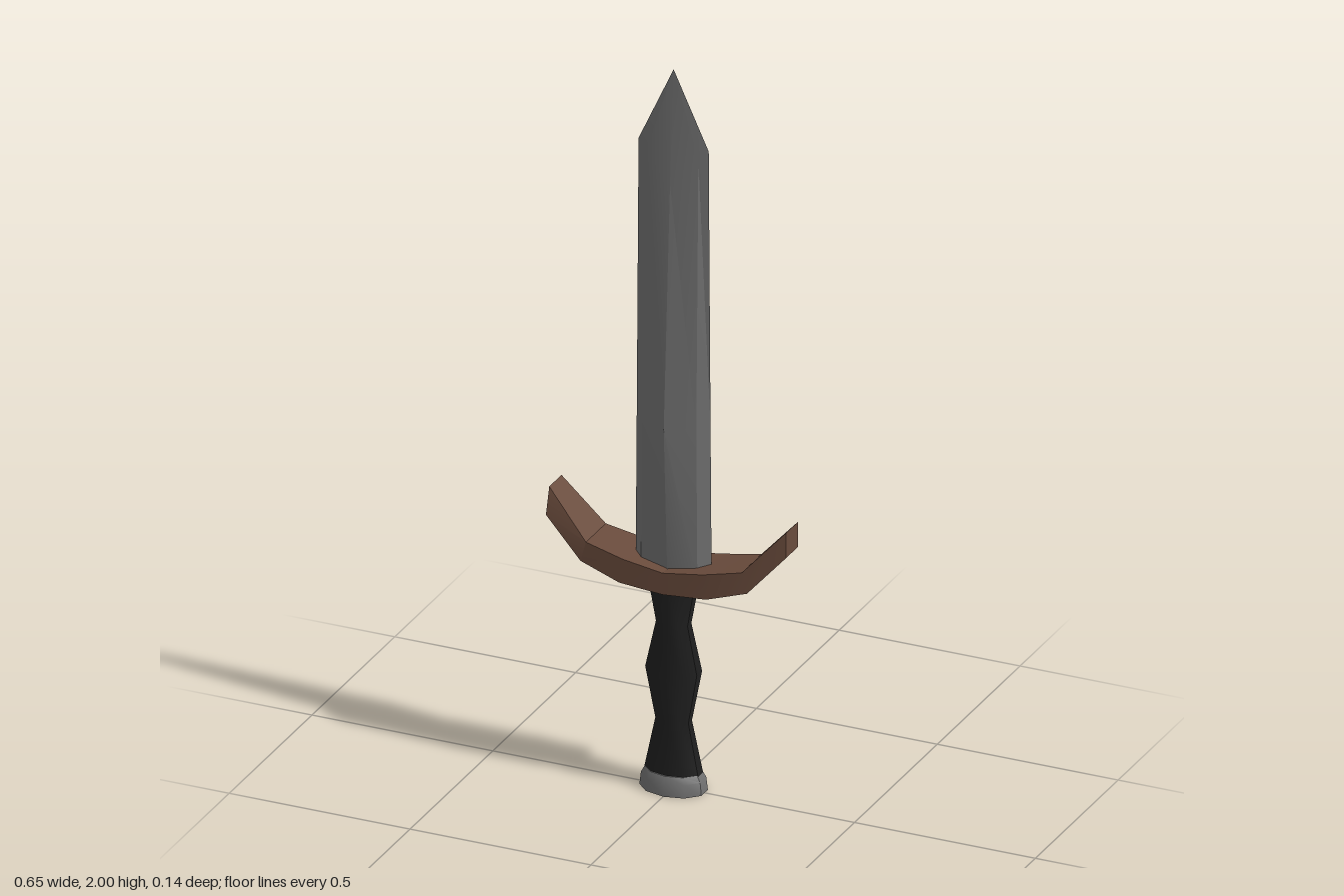
import * as THREE from 'three';
import { toCreasedNormals } from 'three/addons/utils/BufferGeometryUtils.js';

const material = (name, color) => {
  const m = new THREE.MeshStandardMaterial({ color });
  m.name = name;
  return m;
};

// Skin a list of equal-sized rings and close both ends
function loft(rings, crease) {
  const n = rings[0].length;
  const last = (rings.length - 1) * n;
  const index = [];
  for (let r = 0; r < rings.length - 1; r++) {
    for (let j = 0; j < n; j++) {
      const a = r * n + j, b = r * n + (j + 1) % n;
      index.push(a, b, a + n, b, b + n, a + n);
    }
  }
  for (let j = 1; j < n - 1; j++) {
    index.push(0, j + 1, j, last, last + j, last + j + 1);
  }
  const geometry = new THREE.BufferGeometry();
  geometry.setAttribute('position', new THREE.Float32BufferAttribute(rings.flat(2), 3));
  geometry.setIndex(index);
  return toCreasedNormals(geometry, crease);
}

// Oval ring around the y axis
function oval(y, rx, rz, sides = 10) {
  return Array.from({ length: sides }, (_, i) => {
    const a = (i / sides) * Math.PI * 2;
    return [Math.sin(a) * rx, y, Math.cos(a) * rz];
  });
}

// Eight-point blade section: ridge, bevel and cutting edge, each with its own height
function bladeRing([ridgeY, ridgeZ], [bevelX, bevelY, bevelZ], [edgeX, edgeY]) {
  return [
    [0, ridgeY, ridgeZ], [bevelX, bevelY, bevelZ], [edgeX, edgeY, 0], [bevelX, bevelY, -bevelZ],
    [0, ridgeY, -ridgeZ], [-bevelX, bevelY, -bevelZ], [-edgeX, edgeY, 0], [-bevelX, bevelY, bevelZ],
  ];
}

export function createModel() {
  const group = new THREE.Group();
  const steel = material('steel', 0x707070);
  const leather = material('black leather', 0x1f1f1f);
  const wood = material('brown wood', 0x694b3c);

  const add = (name, geometry, mat) => {
    const mesh = new THREE.Mesh(geometry, mat);
    mesh.name = name;
    group.add(mesh);
  };

  // Blade: oval at the guard, thickest at the ridge start, tapering to the point
  add('blade', loft([
    bladeRing([0.59, 0.038], [0.078, 0.59, 0.027], [0.105, 0.59]),
    bladeRing([1.02, 0.06], [0.075, 1.02, 0.027], [0.102, 1.02]),
    bladeRing([1.69, 0.022], [0.072, 1.763, 0.008], [0.097, 1.79]),
    bladeRing([2, 0], [0, 2, 0], [0, 2]),
  ], 0.35), steel);

  // Crossguard: half profile as [bottom x, bottom y, top x, top y, half depth]
  const half = [
    [0, 0.565, 0, 0.625, 0.068],
    [0.12, 0.575, 0.11, 0.642, 0.068],
    [0.23, 0.61, 0.215, 0.665, 0.06],
    [0.327, 0.718, 0.327, 0.788, 0.037],
  ];
  const mirrored = half.slice(1).reverse().map(([bx, by, tx, ty, d]) => [-bx, by, -tx, ty, d]);
  const guardRings = [...mirrored, ...half].map(([bx, by, tx, ty, d]) => [
    [tx, ty, -d], [tx, ty, d], [bx, by, d], [bx, by, -d],
  ]);
  guardRings[0][2][2] = 0.057; // one lower corner flares forward
  add('crossguard', loft(guardRings, 0.3), wood);

  // Grip with a swelling in the middle
  add('grip', loft([
    oval(0.04, 0.08, 0.05),
    oval(0.19, 0.048, 0.035),
    oval(0.33, 0.075, 0.052),
    oval(0.46, 0.046, 0.037),
    oval(0.59, 0.07, 0.048),
  ], 0.7), leather);

  // Pommel cap
  add('pommel', loft([
    oval(0, 0.09, 0.064),
    oval(0.035, 0.086, 0.061),
    oval(0.052, 0.076, 0.053),
  ], 0.7), steel);

  return group;
}
